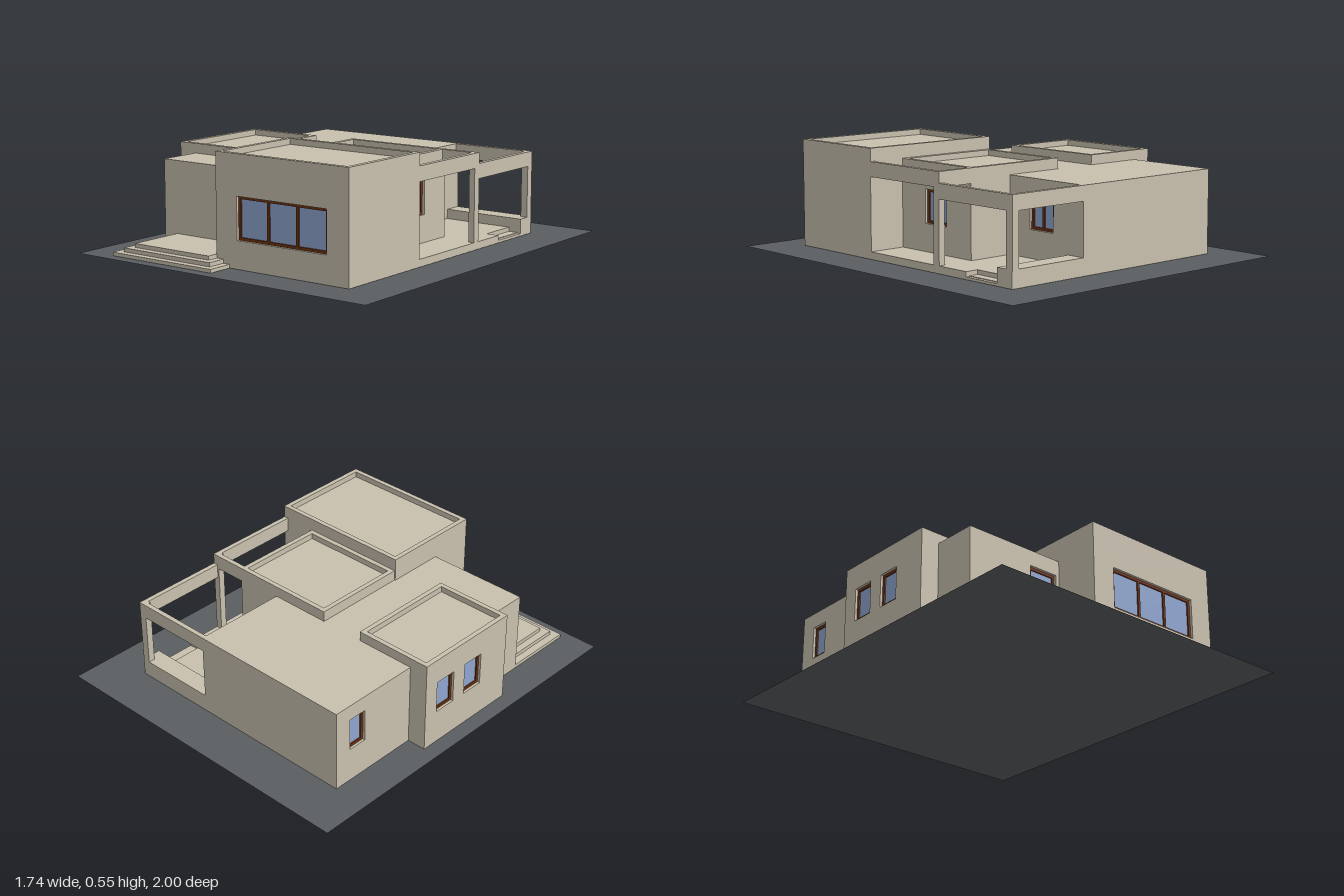
import * as THREE from 'three';

const mat = (name, color, side = THREE.FrontSide) => {
  const m = new THREE.MeshStandardMaterial({ color, side });
  m.name = name;
  return m;
};

export function createModel() {
  const model = new THREE.Group();
  model.name = 'house';
  const plaster = mat('plaster', 0xc9c0ae);
  const ground = mat('ground', 0x5a5e61, THREE.DoubleSide);
  const glass = mat('glass', 0x8fa6cf);
  const wood = mat('wood', 0x6e3210);
  const T = 0.025; // wall thickness
  const BASE = 0.002; // walls start just above the ground

  const box = (name, x0, x1, y0, y1, z0, z1, material = plaster, parent = model) => {
    const mesh = new THREE.Mesh(new THREE.BoxGeometry(x1 - x0, y1 - y0, z1 - z0), material);
    mesh.position.set((x0 + x1) / 2, (y0 + y1) / 2, (z0 + z1) / 2);
    mesh.name = name;
    parent.add(mesh);
    return mesh;
  };

  const rect = (a, b, c, d) => [[a, c], [b, c], [b, d], [a, d]];
  const vecs = (pts) => pts.map(([u, v]) => new THREE.Vector2(u, v));

  // Wall with holes. axis 'z': spans x, fills z from p to p + T.
  // axis 'x': spans z, fills x from p to p + T.
  const wall = (name, axis, p, u0, u1, height, holes = []) => {
    const shape = new THREE.Shape(vecs(rect(u0, u1, BASE, height)));
    holes.forEach((h) => shape.holes.push(new THREE.Path(vecs(h))));
    const geo = new THREE.ExtrudeGeometry(shape, { depth: T, bevelEnabled: false });
    if (axis === 'x') geo.rotateY(-Math.PI / 2).translate(p + T, 0, 0);
    else geo.translate(0, 0, p);
    const mesh = new THREE.Mesh(geo, plaster);
    mesh.name = name;
    model.add(mesh);
  };

  // Framed glazing set back in a wall opening; outer = wall face, dir = outward sign.
  const glazing = (name, axis, outer, dir, u0, u1, v0, v1, panes) => {
    const g = new THREE.Group();
    g.name = name;
    const F = 0.014;
    const part = (n, a, b, c, d, near, far, m) => {
      const [p, q] = [outer - dir * near, outer - dir * far].sort((s, t) => s - t);
      if (axis === 'x') box(n, p, q, c, d, a, b, m, g);
      else box(n, a, b, c, d, p, q, m, g);
    };
    part('pane', u0, u1, v0, v1, 0.02, 0.024, glass);
    part('sill', u0, u1, v0, v0 + F, 0.013, 0.025, wood);
    part('head', u0, u1, v1 - F, v1, 0.013, 0.025, wood);
    for (let i = 0; i <= panes; i++) {
      const u = u0 + F / 2 + ((u1 - u0 - F) * i) / panes;
      part('stile', u - F / 2, u + F / 2, v0, v1, 0.013, 0.025, wood);
    }
    model.add(g);
  };

  // Ground sheet
  const sheet = new THREE.Mesh(new THREE.PlaneGeometry(1.74, 2).rotateX(-Math.PI / 2), ground);
  sheet.name = 'groundSheet';
  model.add(sheet);

  // Main low body
  const door = [-0.32, -0.16, 0.06, 0.35];
  wall('bodyFront', 'z', 0.57 - T, -0.69, -0.13, 0.43, [rect(...door)]);
  glazing('frontDoor', 'z', 0.57, 1, ...door, 1);
  const bodyWin = [-0.66, -0.56, 0.18, 0.35];
  wall('bodySide', 'x', -0.69, -0.75, 0.57, 0.43, [rect(...bodyWin)]);
  glazing('bodyWindow', 'x', -0.69, -1, ...bodyWin, 1);
  wall('bodyBack', 'z', -0.75, -0.69, 0.64, 0.43, [rect(0.19, 0.6, 0.09, 0.355)]);
  const terraceWin = [-0.55, -0.39, 0.18, 0.35];
  wall('terraceWall', 'x', 0.19 - T, -0.75, -0.24, 0.43, [rect(...terraceWin)]);
  glazing('terraceWindow', 'x', 0.19, 1, ...terraceWin, 2);
  box('bodyRoofBack', -0.69, 0.19, 0.4, 0.43, -0.75, -0.245);
  box('bodyRoofFront', -0.69, -0.12, 0.4, 0.43, -0.25, 0.57);

  // Side annex
  const annexWins = [[-0.17, -0.05, 0.18, 0.35], [0.03, 0.15, 0.18, 0.35]];
  wall('annexSide', 'x', -0.79, -0.25, 0.34, 0.48, annexWins.map((w) => rect(...w)));
  annexWins.forEach((w) => glazing('annexWindow', 'x', -0.79, -1, ...w, 1));
  wall('annexInner', 'x', -0.37 - T, -0.25, 0.34, 0.48);
  wall('annexBack', 'z', -0.25, -0.79, -0.37, 0.48);
  wall('annexFront', 'z', 0.34 - T, -0.79, -0.37, 0.48);
  box('annexRoof', -0.78, -0.38, 0.42, 0.45, -0.24, 0.33);

  // Tall front room
  const wide = [-0.012, 0.515, 0.14, 0.35];
  wall('frontRoomFront', 'z', 0.81 - T, -0.14, 0.64, 0.55, [rect(...wide)]);
  glazing('wideWindow', 'z', 0.81, 1, ...wide, 3);
  wall('frontRoomBack', 'z', 0.26, -0.14, 0.64, 0.55);
  wall('frontRoomLeftEdge', 'x', -0.14, 0.26, 0.81, 0.55);
  wall('frontRoomRightEdge', 'x', 0.64 - T, 0.26, 0.81, 0.55);
  box('frontRoomRoof', -0.13, 0.63, 0.49, 0.52, 0.27, 0.8);

  // Middle room
  const midWin = [-0.07, 0.085, 0.18, 0.35];
  wall('middleRoomSide', 'x', 0.44 - T, -0.25, 0.26, 0.485, [rect(...midWin)]);
  glazing('middleWindow', 'x', 0.44, 1, ...midWin, 2);
  wall('middleRoomBack', 'z', -0.25, -0.135, 0.44, 0.485);
  wall('middleRoomInner', 'x', -0.135, -0.25, 0.26, 0.485);
  box('middleParapet', -0.135, 0.44, 0.43, 0.485, 0.235, 0.262);
  box('middleRoof', -0.13, 0.43, 0.425, 0.455, -0.24, 0.25);

  // Open porch frames
  wall('middlePorchFrame', 'x', 0.64 - T, -0.25, 0.27, 0.485, [rect(-0.21, 0.26, 0.04, 0.41)]);
  box('middlePorchBeam', 0.43, 0.64, 0.41, 0.485, -0.25, -0.225);
  wall('terraceFrame', 'x', 0.64 - T, -0.75, -0.24, 0.43, [[
    [-0.71, 0.09], [-0.65, 0.09], [-0.65, 0.015], [-0.44, 0.015],
    [-0.44, 0.04], [-0.25, 0.04], [-0.25, 0.355], [-0.71, 0.355],
  ]]);
  box('middlePost', 0.605, 0.64, BASE, 0.485, -0.25, -0.215);
  box('cornerPost', 0.6, 0.64, BASE, 0.43, -0.75, -0.715);

  // Porch and terrace floors, entry tread and bench
  box('porchFloor', 0.43, 0.62, BASE, 0.04, -0.25, 0.27);
  box('terraceFloor', 0.18, 0.57, BASE, 0.04, -0.66, -0.24);
  box('terraceFloorEdge', 0.56, 0.62, BASE, 0.04, -0.44, -0.24);
  box('terraceTread', 0.56, 0.62, BASE, 0.018, -0.66, -0.43);
  box('bench', 0.18, 0.62, BASE, 0.09, -0.735, -0.65);

  // Front steps
  [[-0.69, -0.06, 0.945], [-0.65, -0.098, 0.908], [-0.612, -0.137, 0.87]].forEach(([a, b, z], i) =>
    box('frontStep', a, b, i ? i * 0.02 : BASE, (i + 1) * 0.02, 0.56, z));

  return model;
}
